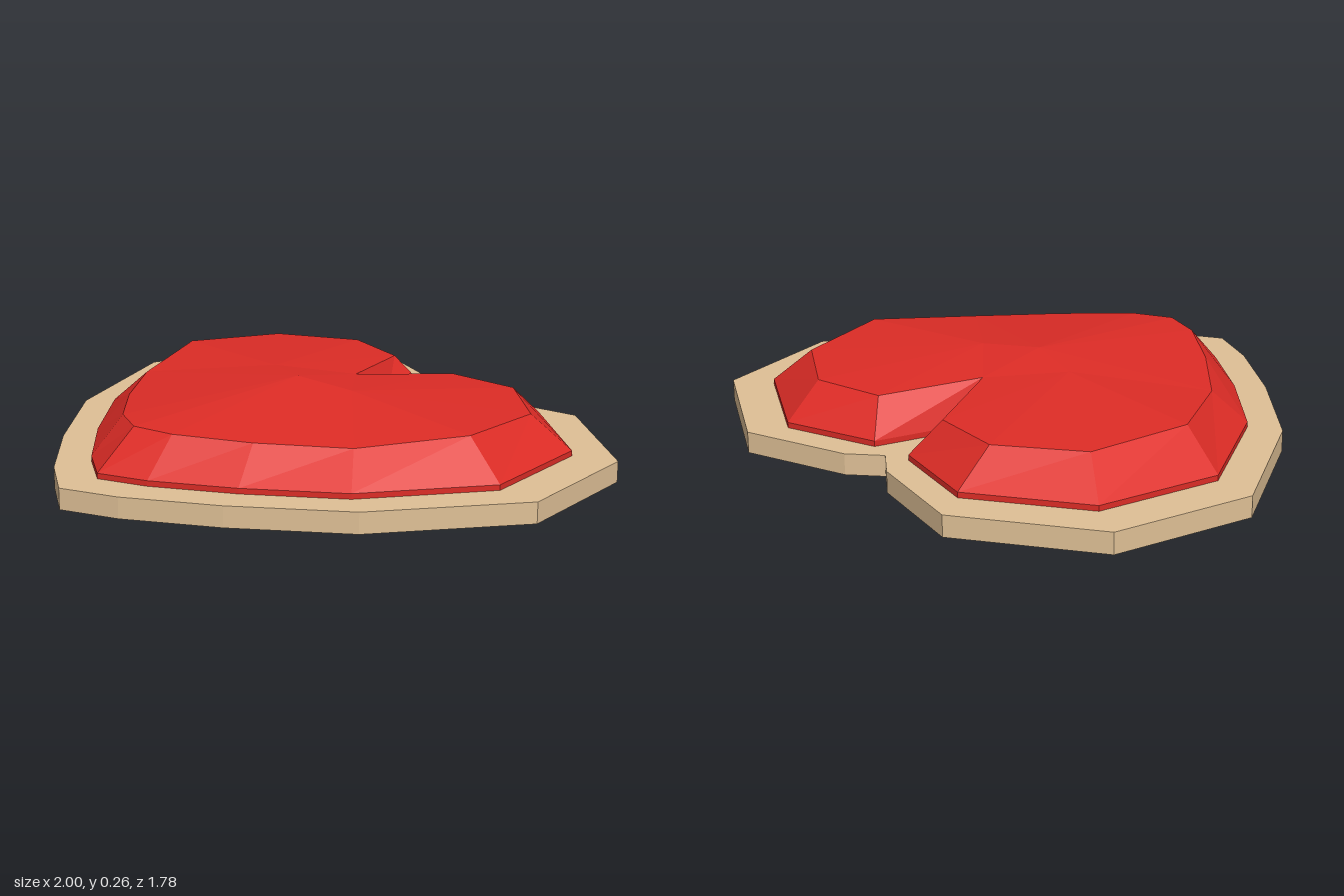
import * as THREE from 'three';

// Closed heart loop from a half outline [x, z, y], notch first, tip last
function heartLoop(half, y) {
  const right = half.map(([x, z, h]) => new THREE.Vector3(x, y ?? h, z));
  const left = right.slice(1, -1).reverse().map(p => new THREE.Vector3(-p.x, p.y, p.z));
  return [...right, ...left];
}

// Triangles joining two loops of equal length
function strip(a, b) {
  return a.flatMap((p, i) => {
    const j = (i + 1) % a.length;
    return [p, b[i], a[j], a[j], b[i], b[j]];
  });
}

function makeMesh(name, points, color) {
  const geometry = new THREE.BufferGeometry().setFromPoints(points);
  geometry.computeVertexNormals();
  const material = new THREE.MeshStandardMaterial({ color, flatShading: true, side: THREE.DoubleSide });
  const mesh = new THREE.Mesh(geometry, material);
  mesh.name = name;
  return mesh;
}

export function createModel() {
  const group = new THREE.Group();
  group.name = 'heartGem';

  const rimHalf = [[0, -0.715], [0.1, -0.795], [0.46, -0.895], [0.89, -0.635], [1, -0.16],
    [0.735, 0.315], [0.44, 0.595], [0.18, 0.795], [0, 0.89]];
  const girdleHalf = [[0, -0.44], [0.08, -0.69], [0.4, -0.78], [0.76, -0.56], [0.855, -0.145],
    [0.635, 0.26], [0.385, 0.495], [0.155, 0.67], [0, 0.75]];
  const crownHalf = [[0, -0.3, 0.22], [0.15, -0.61, 0.2], [0.4, -0.65, 0.2], [0.65, -0.48, 0.2], [0.725, -0.14, 0.213],
    [0.55, 0.18, 0.192], [0.335, 0.4, 0.2], [0.135, 0.56, 0.21], [0, 0.61, 0.213]];

  // Setting: outer wall and flat top border, open underneath
  const rimLow = heartLoop(rimHalf, 0);
  const rimTop = heartLoop(rimHalf, 0.07);
  const seat = heartLoop(girdleHalf, 0.07);
  group.add(makeMesh('settingBorder', [...strip(rimLow, rimTop), ...strip(rimTop, seat)], 0xdfc096));

  // Gem: short girdle, sloping bevel and a shallow raised top
  const girdle = heartLoop(girdleHalf, 0.088);
  const crown = heartLoop(crownHalf);
  group.add(makeMesh('gemSides', [...strip(seat, girdle), ...strip(girdle, crown)], 0xdd2c26));

  // Top facets fan out from a centre peak and one hub in each lobe
  const peak = new THREE.Vector3(0, 0.26, -0.045);
  const hubR = new THREE.Vector3(-0.2, 0.242, -0.11);
  const hubL = new THREE.Vector3(0.2, 0.242, -0.11);
  const top = [hubR, peak, crown[0], peak, hubL, crown[0], hubL, peak, crown[5], peak, hubR, crown[11]];
  crown.forEach((p, i) => {
    const hub = i < 5 ? hubL : i < 11 ? peak : hubR;
    top.push(hub, crown[(i + 1) % crown.length], p);
  });
  group.add(makeMesh('gemTop', top, 0xdd2c26));

  return group;
}
